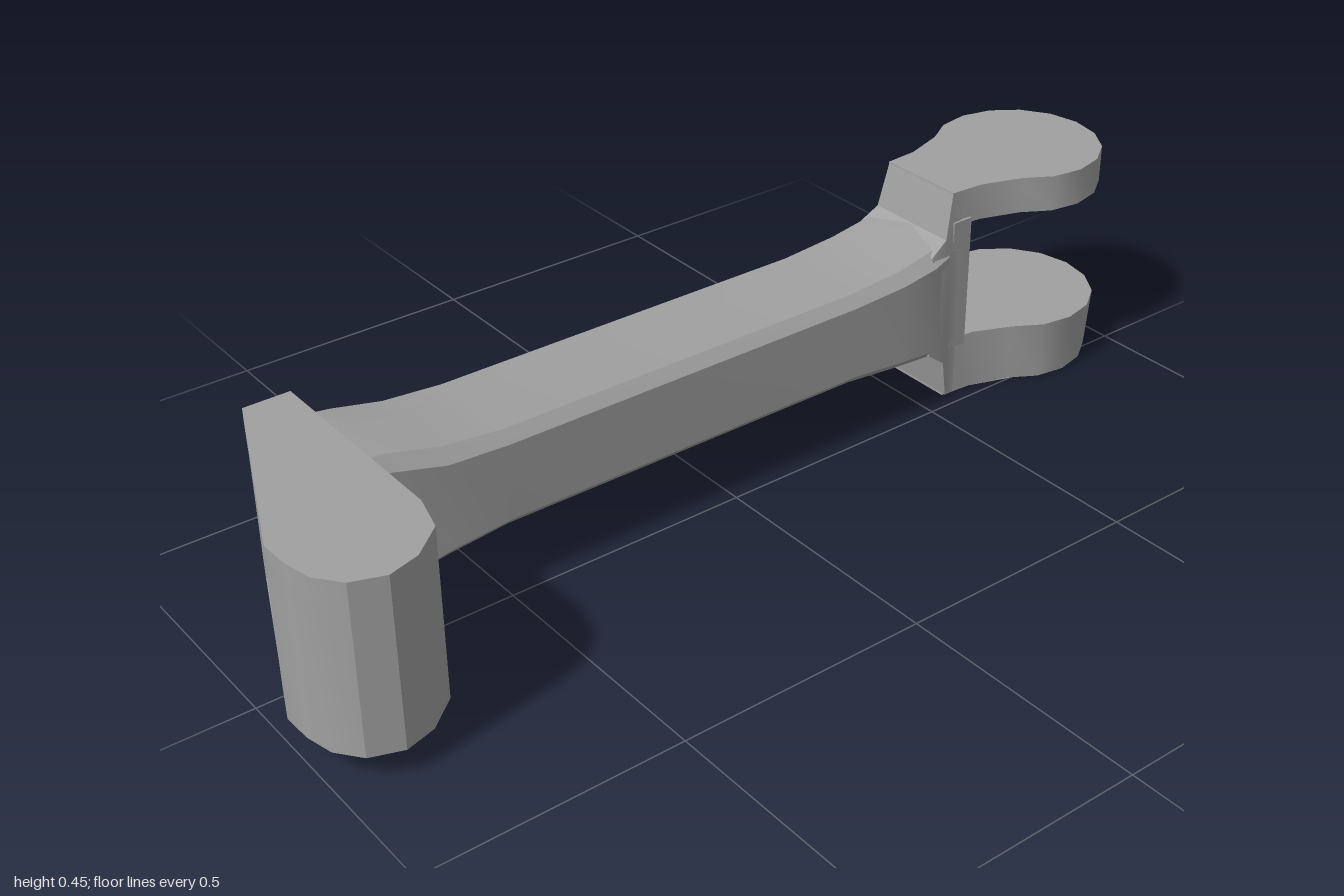
import * as THREE from 'three';
import { toCreasedNormals } from 'three/addons/utils/BufferGeometryUtils.js';

const steel = new THREE.MeshStandardMaterial({ color: 0xa0a0a0 });
steel.name = 'grey steel';

function part(name, geometry, crease = 0.5) {
  const flat = geometry.index ? geometry.toNonIndexed() : geometry;
  const mesh = new THREE.Mesh(toCreasedNormals(flat, crease), steel);
  mesh.name = name;
  return mesh;
}

// Plan outline of [x, z] points raised from y0 to y1
function slab(points, y0, y1) {
  const shape = new THREE.Shape(points.map(([x, z]) => new THREE.Vector2(x, -z)));
  const g = new THREE.ExtrudeGeometry(shape, { depth: y1 - y0, bevelEnabled: false });
  return g.rotateX(-Math.PI / 2).translate(0, y0, 0);
}

// Bevelled ring at x, counter-clockwise seen from +x
function ring([x, y0, y1, z0, z1, cut]) {
  const m = (z0 + z1) / 2, arch = cut * 0.3;
  return [
    [z0, y0 + cut], [z0, y1 - cut], [z0 + cut * 0.7, y1 - arch], [m, y1],
    [z1 - cut * 0.7, y1 - arch], [z1, y1 - cut], [z1, y0 + cut],
    [z1 - cut * 0.7, y0 + arch], [m, y0], [z0 + cut * 0.7, y0 + arch],
  ].map(([z, y]) => [x, y, z]);
}

// Skin over successive rings, closed at both ends
function loft(rings) {
  const p = [], n = rings[0].length, last = rings[rings.length - 1];
  for (let k = 0; k < rings.length - 1; k++) {
    for (let i = 0; i < n; i++) {
      const j = (i + 1) % n;
      const a = rings[k][i], b = rings[k][j], c = rings[k + 1][j], d = rings[k + 1][i];
      p.push(...a, ...b, ...c, ...a, ...c, ...d);
    }
  }
  for (let i = 1; i < n - 1; i++) {
    p.push(...rings[0][0], ...rings[0][i + 1], ...rings[0][i]);
    p.push(...last[0], ...last[i], ...last[i + 1]);
  }
  const g = new THREE.BufferGeometry();
  g.setAttribute('position', new THREE.Float32BufferAttribute(p, 3));
  return g;
}

// Round fork ear with a narrow neck
function earOutline(r) {
  const cx = 0.825, cz = -0.127, pts = [[0.56, -0.035], [0.63, -0.03]];
  for (let i = 0; i <= 12; i++) {
    const a = THREE.MathUtils.degToRad(132 - i * 22);
    pts.push([cx + r * Math.cos(a), cz + r * Math.sin(a)]);
  }
  pts.push([0.63, -0.225], [0.56, -0.22]);
  return pts;
}

export function createModel() {
  const model = new THREE.Group();

  // Shaft, flared at both ends: x, y0, y1, z0, z1, bevel
  model.add(part('shaft', loft([
    [-0.78, 0.075, 0.37, -0.25, -0.02, 0.03],
    [-0.7, 0.08, 0.362, -0.25, -0.02, 0.035],
    [-0.6, 0.102, 0.34, -0.25, -0.012, 0.035],
    [-0.48, 0.117, 0.327, -0.249, -0.014, 0.03],
    [0.3, 0.117, 0.327, -0.246, -0.012, 0.03],
    [0.42, 0.107, 0.338, -0.246, -0.008, 0.032],
    [0.5, 0.098, 0.352, -0.248, -0.01, 0.035],
    [0.545, 0.09, 0.36, -0.235, -0.02, 0.035],
  ].map(ring)), 0.6));

  // Side arm: top and bottom flanges, round boss and recessed web
  const arm = new THREE.Group();
  arm.name = 'sideArm';
  const nose = [[-1, 0.12], [-0.998, 0.18], [-0.985, 0.235], [-0.95, 0.28], [-0.89, 0.302],
    [-0.83, 0.285], [-0.77, 0.235], [-0.75, 0.16]];
  arm.add(part('armTopFlange', slab([[-0.75, -0.262], [-0.84, -0.262], ...nose], 0.345, 0.388)));
  arm.add(part('armBottomFlange', slab([[-0.75, -0.26], [-0.84, -0.26], [-0.985, 0.085],
    [-0.76, 0.085]], 0.07, 0.095)));
  const boss = slab([[-0.973, 0.055], ...nose, [-0.765, 0.1], [-0.8, 0.055]], 0.055, 0.35);
  const bp = boss.attributes.position;
  for (let i = 0; i < bp.count; i++) {
    if (bp.getY(i) < 0.06 && bp.getZ(i) < 0.11) bp.setY(i, 0.073);
  }
  arm.add(part('armBoss', boss));
  arm.add(part('armWeb', slab([[-0.75, -0.26], [-0.84, -0.26], [-0.87, -0.19], [-0.845, -0.16],
    [-0.915, 0.02], [-0.955, 0.06], [-0.82, 0.06], [-0.84, 0.0], [-0.75, -0.03]], 0.09, 0.35)));
  model.add(arm);

  // Fork: yoke spreading up and down from the shaft, with two ears
  const fork = new THREE.Group();
  fork.name = 'fork';
  const yokeRing = (x, y0, y1, zb, zt) => [
    [x, y0, -0.127 - zb], [x, 0.13, -0.127 - zb], [x, 0.3, -0.127 - zt - 0.01], [x, y1, -0.127 - zt],
    [x, y1, -0.127 + zt], [x, 0.3, -0.127 + zt + 0.01], [x, 0.13, -0.127 + zb], [x, y0, -0.127 + zb],
  ];
  fork.add(part('yoke', loft([
    yokeRing(0.5, 0.12, 0.335, 0.11, 0.105),
    yokeRing(0.54, 0.09, 0.36, 0.11, 0.1),
    yokeRing(0.56, 0.005, 0.45, 0.1, 0.092),
    yokeRing(0.58, 0.005, 0.45, 0.1, 0.092),
  ])));
  // Raised frame around the shallow pocket between the ears
  for (const side of [-1, 1]) {
    const z = -0.127 + side * 0.075;
    fork.add(part(side > 0 ? 'frontCheek' : 'rearCheek',
      new THREE.BoxGeometry(0.045, 0.28, 0.05).translate(0.583, 0.25, z)));
  }
  fork.add(part('pocketLintel', new THREE.BoxGeometry(0.045, 0.075, 0.18).translate(0.583, 0.347, -0.127)));
  fork.add(part('upperEar', slab(earOutline(0.168), 0.378, 0.452)));

  const lower = slab(earOutline(0.175), 0, 0.125);
  const lp = lower.attributes.position;
  for (let i = 0; i < lp.count; i++) {
    if (lp.getY(i) < 0.01 && lp.getX(i) > 0.65) {
      lp.setX(i, 0.825 + (lp.getX(i) - 0.825) * 0.95);
      lp.setZ(i, -0.127 + (lp.getZ(i) + 0.127) * 0.95);
    }
  }
  fork.add(part('lowerEar', lower));
  model.add(fork);

  return model;
}
